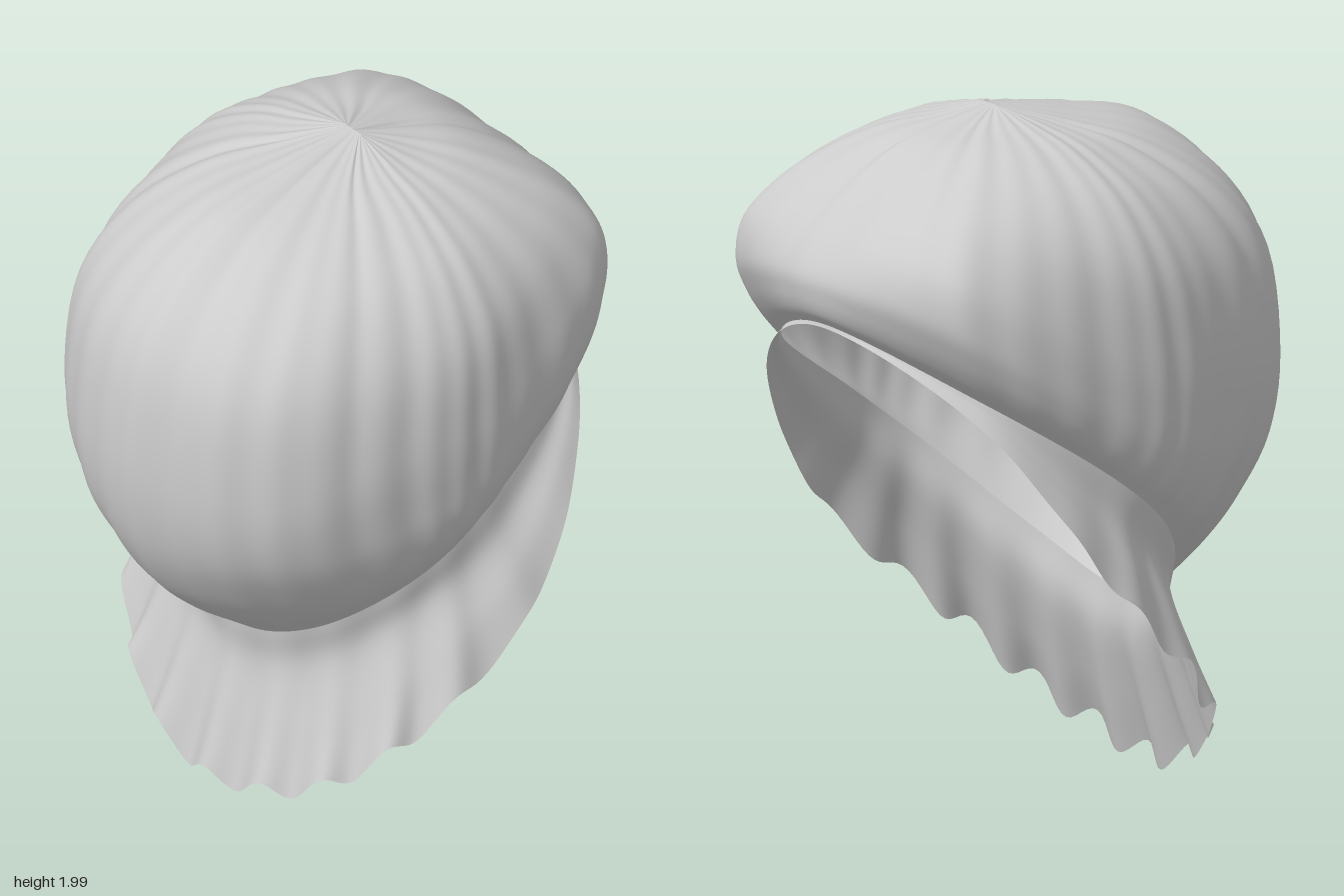
import * as THREE from 'three';

const SEGMENTS = 220; // columns around the bonnet

// Meridians [x, y, z] from the crown gather down to the neck of the opening
const cap = {
  front: [[0, 2, -.115], [0, 1.96, .15], [0, 1.9, .4], [0, 1.75, .6], [0, 1.55, .71],
    [0, 1.25, .745], [0, 1, .715], [0, .81, .63], [0, .66, .5], [0, .53, .34]],
  frontDiagonal: [[.02, 2, -.115], [.12, 1.955, .06], [.24, 1.89, .25], [.35, 1.75, .43], [.41, 1.55, .55],
    [.43, 1.25, .58], [.42, 1.03, .55], [.395, .86, .46], [.355, .74, .38], [.3, .635, .29]],
  frontSide: [[.03, 2, -.115], [.16, 1.96, -.02], [.31, 1.91, .05], [.47, 1.79, .13], [.575, 1.6, .2],
    [.61, 1.35, .24], [.607, 1.13, .225], [.597, 1.01, .19], [.575, .92, .145], [.535, .855, .1]],
  side: [[.03, 2, -.115], [.18, 1.965, -.11], [.34, 1.915, -.11], [.5, 1.81, -.11], [.61, 1.64, -.11],
    [.65, 1.4, -.1], [.653, 1.22, -.09], [.64, 1.13, -.1], [.615, 1.08, -.12], [.58, 1.05, -.14]],
  backDiagonal: [[.02, 2, -.115], [.11, 1.965, -.22], [.22, 1.93, -.32], [.33, 1.86, -.43], [.42, 1.77, -.53],
    [.49, 1.65, -.6], [.51, 1.52, -.61], [.505, 1.42, -.575], [.485, 1.345, -.535], [.455, 1.29, -.495]],
  back: [[0, 2, -.115], [0, 1.97, -.25], [0, 1.93, -.4], [0, 1.86, -.52], [0, 1.77, -.62],
    [0, 1.68, -.7], [0, 1.6, -.745], [0, 1.54, -.745], [0, 1.49, -.73], [0, 1.455, -.7]],
};

// Meridians of the flounce, from the neck to the hem
const frill = {
  front: [[0, .53, .34], [0, .4, .33], [0, .22, .375], [0, .035, .43]],
  frontDiagonal: [[.3, .635, .29], [.3, .5, .27], [.33, .3, .32], [.36, .15, .37]],
  frontSide: [[.535, .855, .1], [.53, .73, .085], [.58, .55, .12], [.615, .39, .16]],
  side: [[.58, 1.05, -.14], [.595, .95, -.165], [.655, .85, -.185], [.698, .76, -.21]],
  backDiagonal: [[.455, 1.29, -.495], [.465, 1.265, -.5], [.485, 1.24, -.507], [.5, 1.215, -.515]],
  back: [[0, 1.455, -.7], [0, 1.452, -.701], [0, 1.448, -.702], [0, 1.445, -.703]],
};

// Skin the mirrored meridians with closed rings; displace(point, turn, v) adds cloth folds
function skin(m, rows, displace) {
  const spline = (pts) => new THREE.CatmullRomCurve3(pts.map((p) => new THREE.Vector3(...p)), false, 'catmullrom', .5);
  const mirror = (pts) => pts.map(([x, y, z]) => [-x, y, z]);
  const left = [m.frontDiagonal, m.frontSide, m.side, m.backDiagonal];
  const meridians = [m.front, ...left, m.back, ...left.map(mirror).reverse()].map(spline);
  const positions = [], index = [];
  for (let i = 0; i <= rows; i++) {
    const v = i / rows;
    const ring = new THREE.CatmullRomCurve3(meridians.map((c) => c.getPoint(v)), true, 'catmullrom', .5);
    for (let j = 0; j < SEGMENTS; j++) {
      const p = ring.getPoint(j / SEGMENTS);
      displace(p, j / SEGMENTS, v);
      positions.push(p.x, p.y, p.z);
      if (i < rows) {
        const a = i * SEGMENTS + j, b = i * SEGMENTS + (j + 1) % SEGMENTS;
        index.push(a, a + SEGMENTS, b, b, a + SEGMENTS, b + SEGMENTS);
      }
    }
  }
  const g = new THREE.BufferGeometry();
  g.setAttribute('position', new THREE.Float32BufferAttribute(positions, 3));
  g.setIndex(index);
  g.computeVertexNormals();
  return g;
}

// Push a point outward from the vertical axis through the crown
function pushOut(p, amount) {
  const r = Math.hypot(p.x, p.z + .1) || 1;
  p.x += p.x / r * amount;
  p.z += (p.z + .1) / r * amount;
}

// Irregular gathers running down from the crown, with a few deeper creases
const creases = [[.035, .022], [.16, .008], [.475, .028], [.58, .012], [.86, .01]];
function gathers(p, turn, v) {
  const a = turn * Math.PI * 2;
  let fold = .003 * Math.sin(a * 29 + 2 * Math.sin(a * 3)) + .002 * Math.sin(a * 17 + 1);
  for (const [at, depth] of creases) fold -= depth * Math.exp(-(((turn - at) / .009) ** 2)) * (1 - v);
  fold *= Math.max(0, Math.sin(Math.PI * v)) ** .7;
  pushOut(p, fold);
  p.y += fold * Math.max(0, 1 - v * 2.5);
}

// Scalloped ruffles that grow toward the hem and fade out at the back
function ruffles(p, turn, v) {
  const a = turn * Math.PI * 2;
  const fade = THREE.MathUtils.smoothstep(Math.cos(a), -.9, .5);
  const wave = Math.cos(a * 18);
  pushOut(p, wave * .014 * fade * v);
  p.y += fade * v * v * (wave * .033 + .006 * Math.sin(a * 7));
}

export function createModel() {
  const cloth = new THREE.MeshStandardMaterial({ color: 0xcccccc, side: THREE.DoubleSide });
  cloth.name = 'light grey cloth';
  const model = new THREE.Group();
  model.name = 'bonnet';
  const add = (name, geometry) => {
    const mesh = new THREE.Mesh(geometry, cloth);
    mesh.name = name;
    model.add(mesh);
  };
  add('gatheredCap', skin(cap, 45, gathers));
  add('ruffledFlounce', skin(frill, 18, ruffles));
  return model;
}
